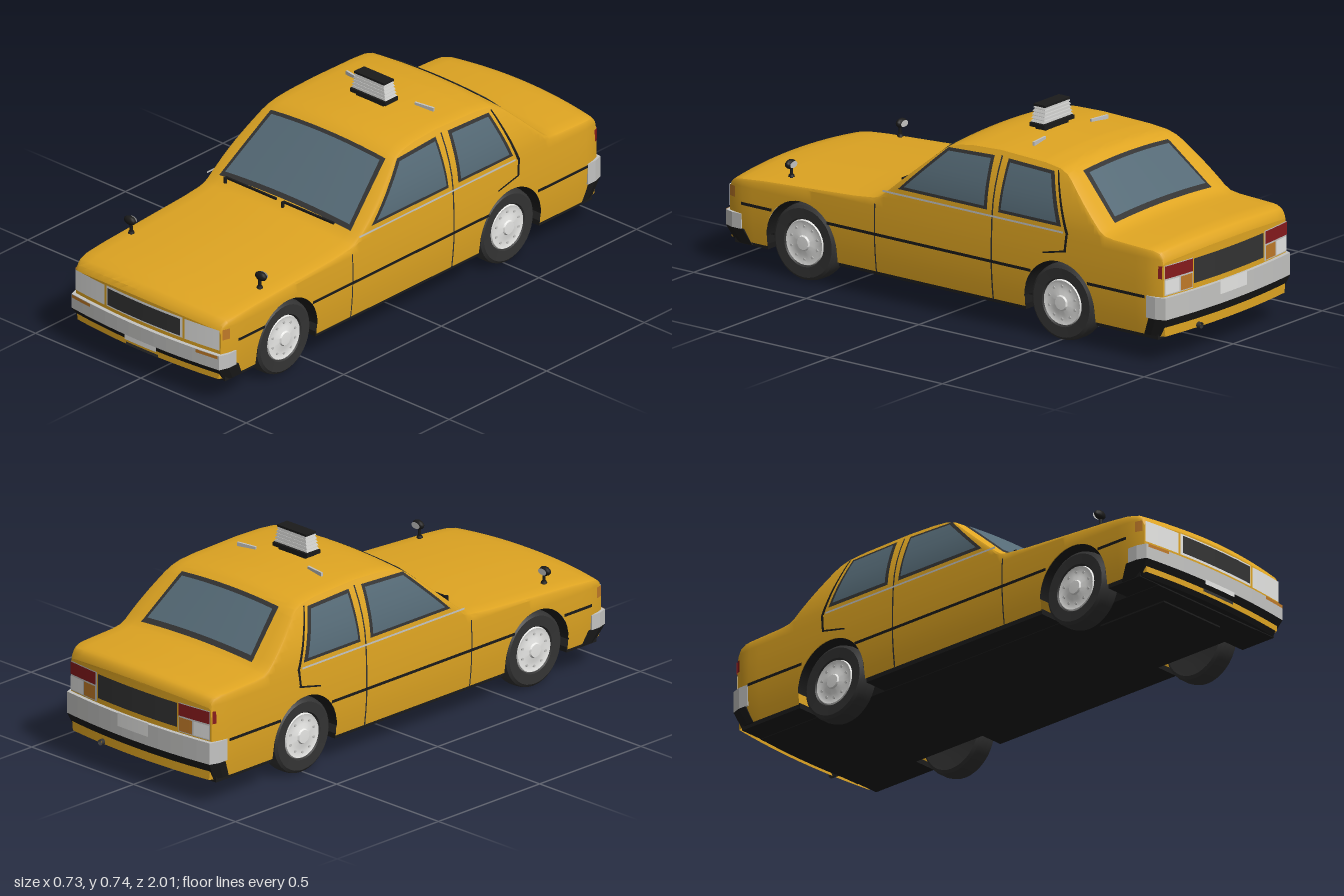
import * as THREE from 'three';
import { toCreasedNormals } from 'three/addons/utils/BufferGeometryUtils.js';

const paint = (name, color) => new THREE.MeshStandardMaterial({ name, color, side: THREE.DoubleSide });
const M = {
  yellow: paint('yellow paint', 0xdfa522), glass: paint('window glass', 0x556a76),
  black: paint('black rubber', 0x1b1b1b), dark: paint('dark trim', 0x333333),
  silver: paint('silver', 0xc4c4c2), white: paint('white', 0xe6e6e4),
  red: paint('red lens', 0x861a1c), orange: paint('orange lens', 0xc07a28),
};

// Side profile of hood, cabin and trunk as [z, y], and half width as [y, x]
const TOP = [[-.985, .385], [-.98, .405], [-.965, .42], [-.93, .429], [-.85, .432], [-.75, .436], [-.71, .442], [-.685, .457],
  [-.53, .6], [-.505, .618], [-.47, .631], [-.4, .639], [-.2, .645], [-.08, .64], [-.02, .632], [.02, .618], [.045, .6],
  [.27, .41], [.29, .397], [.315, .389], [.4, .38], [.6, .368], [.8, .356], [.9, .347], [.95, .339], [.975, .325], [.985, .305]];
const SIDE = [[.1, .35], [.14, .355], [.2, .36], [.25, .361], [.3, .361], [.34, .36], [.38, .358], [.42, .356], [.45, .352],
  [.48, .346], [.51, .338], [.54, .328], [.57, .317], [.6, .304], [.62, .293], [.65, .275]];
const WHEELS = [.635, -.51], WHEEL_Y = .14, ARCH = .155, END = .985, CROWN = .016;

function interp(table, t) {
  let i = 1;
  while (i < table.length - 1 && table[i][0] < t) i++;
  const [a, b] = [table[i - 1], table[i]];
  return a[1] + (b[1] - a[1]) * THREE.MathUtils.clamp((t - a[0]) / (b[0] - a[0]), 0, 1);
}
const topY = z => interp(TOP, z), halfW = y => interp(SIDE, y);

// Narrow and bow the body towards both ends
function bend(x, y, z) {
  const k = Math.max(0, (Math.abs(z) - .88) / .105);
  const bx = x * (1 - .045 * k * k);
  return [bx, y, z - Math.sign(z) * .025 * (bx / .36) ** 2 * Math.min(1, k)];
}

// Surface from a grid of points
function grid(rows) {
  const pos = [], idx = [], n = rows[0].length;
  rows.forEach(r => r.forEach(p => pos.push(...p)));
  for (let j = 0; j < rows.length - 1; j++) for (let i = 0; i < n - 1; i++) {
    const a = j * n + i;
    idx.push(a, a + 1, a + n + 1, a, a + n + 1, a + n);
  }
  const g = new THREE.BufferGeometry();
  g.setAttribute('position', new THREE.Float32BufferAttribute(pos, 3));
  g.setIndex(idx);
  return toCreasedNormals(g, .6);
}

// Four-cornered patch laid on a surface given by map(a, b)
function patch(c, map, n = 10) {
  const rows = [];
  for (let j = 0; j <= n; j++) {
    const row = [];
    for (let i = 0; i <= n; i++) {
      const u = i / n, v = j / n;
      row.push(map(...[0, 1].map(k => (1 - v) * ((1 - u) * c[0][k] + u * c[1][k]) + v * ((1 - u) * c[3][k] + u * c[2][k]))));
    }
    rows.push(row);
  }
  return grid(rows);
}
const rect = (a0, a1, b0, b1) => [[a0, b0], [a0, b1], [a1, b1], [a1, b0]];

export function createModel() {
  const car = new THREE.Group();
  car.name = 'taxi';
  const add = (name, geo, mat, x = 0, y = 0, z = 0, parent = car) => {
    const m = new THREE.Mesh(geo, mat);
    m.name = name;
    m.position.set(x, y, z);
    parent.add(m);
    return m;
  };
  const box = (name, mat, w, h, d, x, y, z) => add(name, new THREE.BoxGeometry(w, h, d), mat, x, y, z);
  const onSide = (name, mat, c, s, eps) =>
    add(name, patch(s > 0 ? c : [c[0], c[3], c[2], c[1]], (z, y) => bend(s * (halfW(y) + eps), y, z)), mat);
  const onTop = (name, mat, c, eps) =>
    add(name, patch(c, (x, z) => [x, topY(z) - CROWN * (x / (halfW(topY(z)) - .014)) ** 2 + eps, z], 14), mat);
  const onEnd = (name, mat, s, x0, x1, y0, y1, eps = .003) => {
    const c = rect(x0, x1, y0, y1);
    add(name, patch(s < 0 ? c : [c[0], c[3], c[2], c[1]], (x, y) => [x, y, s * (END + eps - .025 * (x / .36) ** 2)]), mat);
  };

  // Body shell: half sections along z, with wheel arches cut into the lower edge
  const zs = new Set(TOP.map(p => p[0]));
  for (let z = -.95; z < .97; z += .05) zs.add(+z.toFixed(3));
  for (const c of WHEELS) {
    for (let k = 0; k <= 20; k++) zs.add(+(c + ARCH * Math.cos(k * Math.PI / 20)).toFixed(4));
    zs.add(c + ARCH + .001).add(c - ARCH - .001);
  }
  const half = z => {
    let low = .1;
    for (const c of WHEELS) {
      const d = Math.abs(z - c);
      if (d < ARCH + .0005) low = WHEEL_Y + Math.sqrt(Math.max(0, ARCH * ARCH - d * d));
    }
    const t = topY(z), edge = t - CROWN - .012, w = halfW(edge);
    const pts = SIDE.map(([y]) => THREE.MathUtils.clamp(y, low, edge)).map(y => [halfW(y), y]);
    pts.push([w - .004, edge + .008]);
    for (let k = 8; k >= 0; k--) pts.push([(w - .014) * k / 8, t - CROWN * (k / 8) ** 2]);
    return pts;
  };
  add('bodyShell', grid([...zs].sort((a, b) => a - b).map(z => {
    const h = half(z), other = h.slice(0, -1).reverse().map(([x, y]) => [-x, y]);
    return [...h, ...other].map(([x, y]) => bend(x, y, z));
  })), M.yellow);
  for (const s of [1, -1]) {
    add(s > 0 ? 'frontFace' : 'rearFace', grid(half(s * END).map(([x, y]) => {
      const row = [];
      for (let i = -6; i <= 6; i++) row.push(bend(s * x * i / 6, y, s * END));
      return row;
    })), M.yellow);
  }

  // Underbody
  box('floorPan', M.black, .5, .035, 1.88, 0, .1025, 0);
  for (const [a, b] of [[-.94, -.667], [-.353, .478], [.792, .94]]) box('floorSection', M.black, .69, .02, b - a, 0, .097, (a + b) / 2);
  box('engineTray', M.black, .29, .01, .3, 0, .084, .72);
  const pipe = new THREE.CylinderGeometry(.011, .011, .16, 12, 1, true).rotateX(Math.PI / 2);
  add('exhaustPipe', pipe, M.dark, .17, .108, -.915);

  // Bumpers: a plan outline with a bowed end, raised between two heights
  const endSlab = (name, mat, s, y0, y1, zIn, taper = 0) => {
    const pts = [[.362, zIn], [.362, .94]];
    for (let i = 6; i >= -6; i--) pts.push([.35 * i / 6, 1 - .025 * (.35 * i / 6 / .36) ** 2]);
    pts.push([-.362, .94], [-.362, zIn]);
    const shape = new THREE.Shape(pts.map(([x, z]) => new THREE.Vector2(x, -s * z)));
    const g = new THREE.ExtrudeGeometry(shape, { depth: y1 - y0, bevelEnabled: false }).rotateX(-Math.PI / 2);
    const p = g.attributes.position;
    for (let i = 0; i < p.count; i++) if (p.getY(i) < .001) {
      p.setX(i, p.getX(i) * (1 - taper));
      p.setZ(i, p.getZ(i) * (1 - taper));
    }
    g.computeVertexNormals();
    add(name, g, mat, 0, y0, 0);
  };
  endSlab('frontBumper', M.silver, 1, .145, .2, .9);
  endSlab('frontValance', M.black, 1, .09, .145, .89, .035);
  endSlab('rearBumper', M.silver, -1, .165, .245, .9);
  endSlab('rearValance', M.black, -1, .1, .165, .91, .03);

  // Front face: grille, lamps and plate
  onEnd('grilleFrame', M.white, 1, -.18, .18, .215, .295);
  onEnd('grille', M.dark, 1, -.172, .172, .222, .288, .006);
  onEnd('frontPlate', M.white, 1, -.075, .075, .13, .148, .019);
  onEnd('airIntake', M.dark, 1, -.075, .075, .105, .116, .01);
  // Rear face: panel, lamps and plate
  onEnd('rearPanel', M.dark, -1, -.195, .195, .265, .355);
  onEnd('rearPlate', M.white, -1, -.075, .075, .2, .25, .019);
  for (const s of [1, -1]) {
    const lamp = (name, mat, e, a, b, y0, y1, eps) => onEnd(name, mat, e, Math.min(s * a, s * b), Math.max(s * a, s * b), y0, y1, eps);
    lamp('headlight', M.white, 1, .19, .342, .215, .293);
    lamp('frontIndicator', M.orange, 1, .25, .345, .188, .2, .018);
    lamp('tailLightSurround', M.silver, -1, .2, .342, .25, .36);
    lamp('tailLight', M.red, -1, .203, .342, .312, .358, .006);
    lamp('rearIndicator', M.orange, -1, .207, .265, .255, .306, .006);
    lamp('reverseLight', M.white, -1, .272, .34, .255, .306, .006);
    onSide('cornerIndicator', M.orange, rect(.945, .98, .255, .295), s, .003);
    onSide('tailLightSide', M.red, rect(-.982, -.965, .312, .358), s, .003);
  }

  // Windscreen and rear window, each a dark frame with glass on it
  onTop('windscreenFrame', M.dark, [[-.312, .262], [.312, .262], [.272, .04], [-.272, .04]], .004);
  onTop('windscreen', M.glass, [[-.295, .25], [.295, .25], [.257, .054], [-.257, .054]], .008);
  onTop('rearWindowFrame', M.dark, [[-.238, -.522], [.238, -.522], [.272, -.69], [-.272, -.69]], .004);
  onTop('rearWindow', M.glass, [[-.222, -.538], [.222, -.538], [.254, -.676], [-.254, -.676]], .008);

  for (const s of [1, -1]) {
    // Side windows
    onSide('frontDoorFrame', M.dark, [[-.19, .422], [-.182, .606], [.02, .598], [.205, .422]], s, .003);
    onSide('frontDoorGlass', M.glass, [[-.178, .434], [-.171, .595], [.014, .588], [.178, .434]], s, .006);
    onSide('rearDoorFrame', M.dark, [[-.52, .422], [-.45, .6], [-.244, .606], [-.24, .422]], s, .003);
    onSide('rearDoorGlass', M.glass, [[-.5, .434], [-.44, .59], [-.256, .595], [-.252, .434]], s, .006);
    // Trim strips and door seams
    onSide('beltLine', M.silver, rect(-.53, .27, .4, .407), s, .005);
    for (const [a, b] of [[-.9, -.64], [-.39, .515], [.76, .9]]) onSide('rubbingStrip', M.black, rect(a, b, .235, .246), s, .006);
    onSide('frontDoorSeam', M.dark, rect(.303, .308, .1, .35), s, .002);
    onSide('centreSeam', M.dark, rect(-.216, -.21, .1, .61), s, .002);
    onSide('rearDoorSeam', M.black, [[-.545, .34], [-.552, .4], [-.542, .405], [-.535, .335]], s, .005);
    onSide('rearDoorSeam', M.black, [[-.545, .335], [-.545, .342], [-.44, .318], [-.44, .312]], s, .003);
    onSide('rearPillarSeam', M.black, [[-.553, .4], [-.468, .605], [-.462, .605], [-.54, .4]], s, .003);

    // Arch liners and wheels
    for (const z of WHEELS) {
      add('archLiner', new THREE.CylinderGeometry(ARCH, ARCH, .112, 24, 1, true, 0, Math.PI).rotateZ(Math.PI / 2), M.black, s * .302, WHEEL_Y, z);
      add('archWall', new THREE.CircleGeometry(ARCH, 24, 0, Math.PI).rotateY(s * Math.PI / 2), M.black, s * .247, WHEEL_Y, z);
      const wheel = new THREE.Group();
      wheel.name = 'wheel';
      wheel.position.set(s * .305, WHEEL_Y, z);
      wheel.rotation.z = -s * Math.PI / 2;
      car.add(wheel);
      const prof = [[0, -.03], [.08, -.035], [.125, -.04], [.135, -.032], [.139, -.015], [.139, .015], [.135, .032], [.125, .04], [.088, .038], [.082, .028]];
      add('tire', toCreasedNormals(new THREE.LatheGeometry(prof.map(p => new THREE.Vector2(...p)), 36), .5), M.dark, 0, 0, 0, wheel);
      const hub = [[.084, .028], [.08, .037], [.07, .034], [.045, .036], [.028, .04], [.024, .046], [0, .047]];
      add('hubcap', toCreasedNormals(new THREE.LatheGeometry(hub.map(p => new THREE.Vector2(...p)), 32), .5), M.white, 0, 0, 0, wheel);
      for (let k = 0; k < 10; k++) {
        const a = k * Math.PI / 5;
        add('hubSlot', new THREE.CylinderGeometry(.005, .005, .004, 8), M.silver, .06 * Math.cos(a), .036, .06 * Math.sin(a), wheel);
      }
    }

    // Fender mirrors
    add('mirrorStalk', new THREE.CylinderGeometry(.005, .006, .045, 8), M.black, s * .305, .375, .72);
    add('mirrorFoot', new THREE.CylinderGeometry(.009, .012, .008, 10), M.black, s * .305, .361, .72);
    add('mirrorHead', new THREE.SphereGeometry(1, 12, 8).scale(.026, .017, .014), M.black, s * .311, .404, .72);
    add('mirrorGlass', new THREE.CircleGeometry(1, 16).scale(.02, .012, 1).rotateY(Math.PI), M.silver, s * .311, .404, .705);

    // Roof fins
    box('roofFin', M.silver, .08, .014, .008, s * .168, .642, -.272).rotation.y = s * .15;
  }

  // Wipers
  for (const [x0, x1] of [[-.268, -.028], [.005, .245]]) {
    box('wiperBlade', M.black, x1 - x0, .007, .008, (x0 + x1) / 2, .419, .275);
    add('wiperPivot', new THREE.CylinderGeometry(.006, .006, .022, 8), M.black, x0 + .003, .411, .281);
  }

  // Roof sign: ribbed tapering light on a dark base
  const signZ = -.195;
  box('signNeck', M.black, .13, .014, .045, 0, .648, signZ);
  box('signBase', M.black, .168, .014, .066, 0, .662, signZ);
  for (let k = 0; k < 5; k++) {
    const w = .082 - k * .0026, y = .676 + k * .0122;
    const rib = new THREE.CylinderGeometry(w * Math.SQRT2 * .93, w * Math.SQRT2, .007, 4).rotateY(Math.PI / 4).scale(1, 1, .36);
    add('signRib', rib.toNonIndexed(), M.silver, 0, y, signZ).geometry.computeVertexNormals();
    box('signCore', M.white, w * 1.8, .008, w * .62, 0, y + .006, signZ);
  }
  box('signCap', M.black, .142, .008, .05, 0, .732, signZ);
  return car;
}
